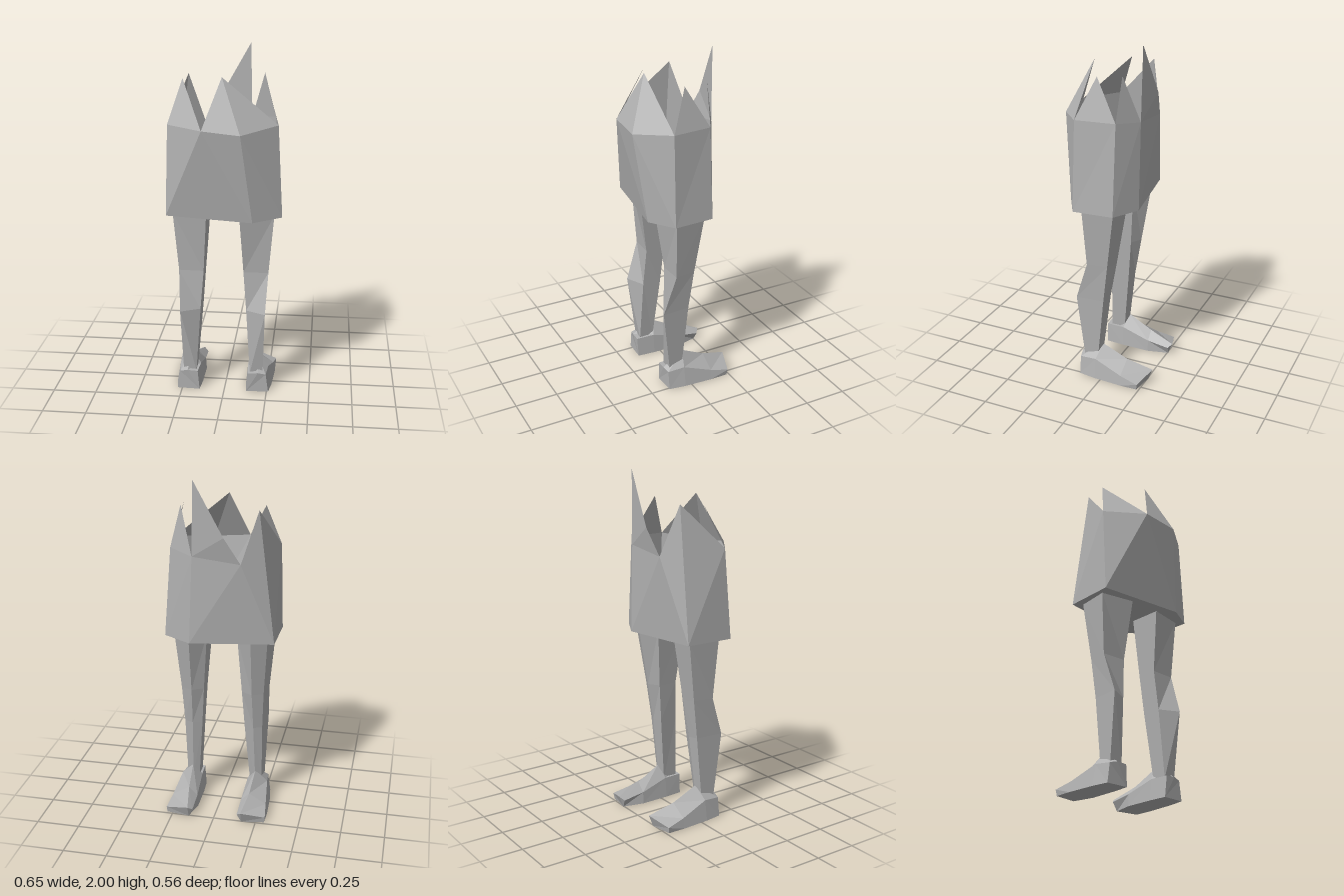
import * as THREE from 'three';

const stone = new THREE.MeshStandardMaterial({ color: 0xb0b0b0, flatShading: true });
stone.name = 'grey stone';
const stoneShell = new THREE.MeshStandardMaterial({ color: 0xb0b0b0, flatShading: true, side: THREE.DoubleSide });
stoneShell.name = 'grey stone shell';

// Turns a list of triangles (three corners each) into a faceted mesh
function facets(name, tris, material) {
  const geo = new THREE.BufferGeometry();
  geo.setAttribute('position', new THREE.Float32BufferAttribute(tris.flat(2), 3));
  geo.computeVertexNormals();
  const mesh = new THREE.Mesh(geo, material);
  mesh.name = name;
  return mesh;
}

// Joins cross-sections into a closed solid whose faces point outward
function loft(name, rings) {
  const tris = [];
  const n = rings[0].length;
  for (let r = 0; r < rings.length - 1; r++) {
    for (let i = 0; i < n; i++) {
      const j = (i + 1) % n;
      const [a, b, c, d] = [rings[r][i], rings[r][j], rings[r + 1][j], rings[r + 1][i]];
      tris.push([a, b, c], [a, c, d]);
    }
  }
  const first = rings[0], last = rings[rings.length - 1];
  for (let i = 1; i < n - 1; i++) {
    tris.push([first[0], first[i + 1], first[i]], [last[0], last[i], last[i + 1]]);
  }
  const v = (p) => new THREE.Vector3(...p);
  const volume = tris.reduce((s, [a, b, c]) => s + v(a).dot(v(b).cross(v(c))), 0);
  return facets(name, volume < 0 ? tris.map(([a, b, c]) => [a, c, b]) : tris, stone);
}

// Leg cross-sections from hip to ankle: height, then x,z corners
const legRings = [
  [1.16, [[0.085, -0.04], [0.17, -0.107], [0.25, -0.07], [0.272, 0.1], [0.09, 0.13]]],
  [1.08, [[0.08, -0.045], [0.17, -0.12], [0.26, -0.08], [0.28, 0.105], [0.085, 0.143]]],
  [0.73, [[0.105, -0.02], [0.17, -0.06], [0.235, -0.03], [0.25, 0.09], [0.107, 0.095]]],
  [0.5, [[0.12, 0], [0.175, -0.02], [0.225, 0], [0.237, 0.165], [0.125, 0.11]]],
  [0.11, [[0.15, 0.04], [0.185, 0.025], [0.22, 0.04], [0.225, 0.12], [0.15, 0.125]]],
];

// Foot cross-sections from heel to toe: x,y,z corners
const footRings = [
  [[0.13, 0, 0.145], [0.26, 0, 0.14], [0.245, 0.11, 0.14], [0.2, 0.122, 0.15], [0.14, 0.118, 0.15]],
  [[0.122, 0, 0.04], [0.275, 0, 0.04], [0.255, 0.12, 0.04], [0.185, 0.195, 0.02], [0.133, 0.12, 0.04]],
  [[0.12, 0, -0.13], [0.285, 0, -0.13], [0.275, 0.06, -0.13], [0.175, 0.12, -0.13], [0.125, 0.07, -0.13]],
  [[0.15, 0, -0.255], [0.283, 0, -0.235], [0.288, 0.035, -0.24], [0.15, 0.07, -0.282], [0.125, 0.05, -0.262]],
];

function torso() {
  // Bottom hexagon
  const A = [-0.325, 1.08, 0.165], B = [0.165, 1.07, 0.225], C = [0.325, 1.08, 0.135];
  const D = [0.31, 1.08, -0.1], E = [0.15, 1.075, -0.185], F = [-0.32, 1.08, -0.12];
  // Shoulder corners of the wall
  const a = [-0.315, 1.59, 0.125], b = [-0.11, 1.59, 0.275], m = [0.1, 1.57, 0.28];
  const c = [0.297, 1.6, 0.13], d = [0.27, 1.6, -0.1], e = [0.13, 1.58, -0.185];
  const g = [-0.05, 1.7, -0.21], h = [-0.14, 1.55, -0.185];
  // Tips of the broken rim
  const rightTip = [-0.24, 1.83, 0.03], frontTip = [-0.01, 1.86, 0.153];
  const leftTip = [0.22, 1.83, 0.03], backLeftTip = [0.205, 1.845, -0.11];
  const tallTip = [0.12, 2, -0.19], backRightTip = [-0.225, 1.835, -0.11];

  const wall = [
    [A, B, b], [A, b, a], [B, m, b], [B, C, m], [C, c, m],
    [C, D, d], [C, d, c], [D, E, e], [D, e, d],
    [E, F, h], [E, h, e], [F, backRightTip, h], [F, A, a], [F, a, backRightTip],
  ];
  const spikes = [
    [a, b, rightTip], [b, m, frontTip], [m, c, frontTip], [c, d, leftTip],
    [d, e, backLeftTip], [e, h, g], [e, g, tallTip],
  ];
  const floor = [[A, C, B], [A, D, C], [A, F, D], [F, E, D]];

  const group = new THREE.Group();
  group.name = 'brokenTorso';
  group.add(
    facets('torsoWall', wall, stoneShell),
    facets('rimSpikes', spikes, stoneShell),
    facets('torsoFloor', floor, stoneShell),
  );
  return group;
}

export function createModel() {
  const model = new THREE.Group();
  model.name = 'brokenStatueLegs';
  model.add(torso());
  // Mirrored legs and feet
  for (const [side, s, shift] of [['left', 1, 0], ['right', -1, -0.016]]) {
    const place = ([x, y, z]) => [s * x + shift, y, z];
    model.add(
      loft(side + 'Leg', legRings.map(([y, pts]) => pts.map(([x, z]) => place([x, y, z])))),
      loft(side + 'Foot', footRings.map((ring) => ring.map(place))),
    );
  }
  return model;
}
